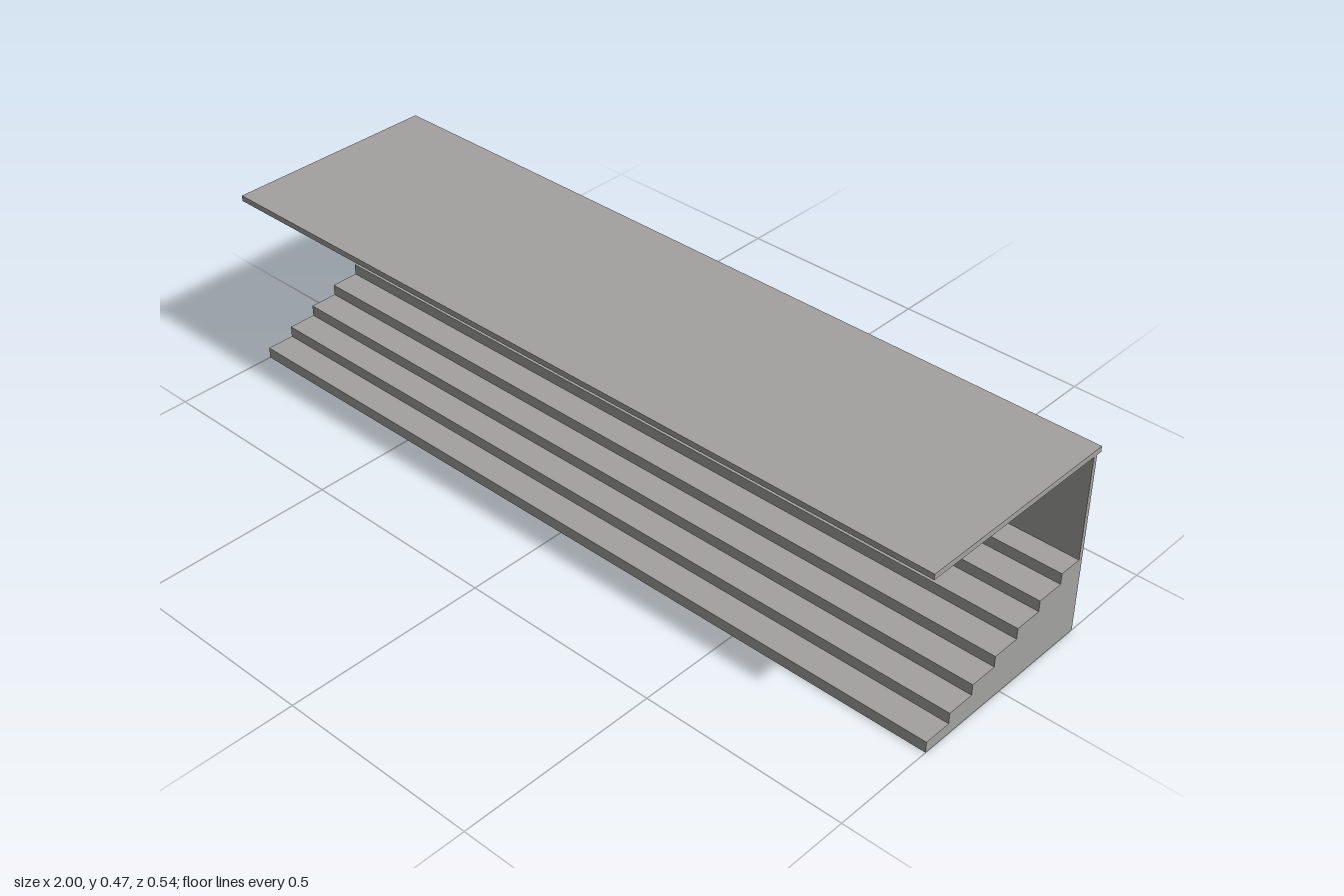
import * as THREE from 'three';

const LENGTH = 2;

export function createModel() {
  const group = new THREE.Group();
  group.name = 'grandstand';
  const concrete = new THREE.MeshStandardMaterial({ color: 0xa3a2a0 });
  concrete.name = 'concrete grey';

  const add = (name, geometry) => {
    const mesh = new THREE.Mesh(geometry, concrete);
    mesh.name = name;
    group.add(mesh);
  };

  // Box spanning the full length, given its y and z limits
  const slab = (name, y0, y1, z0, z1) =>
    add(name, new THREE.BoxGeometry(LENGTH, y1 - y0, z1 - z0)
      .translate(0, (y0 + y1) / 2, (z0 + z1) / 2));

  // Seating tiers: stepped side profile (z, y) extruded along x
  const tiers = 7, rise = 0.0276, tread = 0.0711, front = 0.2415, wallFront = -0.245;
  const profile = new THREE.Shape();
  profile.moveTo(wallFront, 0);
  profile.lineTo(front, 0);
  for (let i = 0; i < tiers; i++) {
    const y = (i + 1) * rise;
    profile.lineTo(front - i * tread, y);
    profile.lineTo(i === tiers - 1 ? wallFront : front - (i + 1) * tread, y);
  }
  add('seatingTiers', new THREE.ExtrudeGeometry(profile, { depth: LENGTH, bevelEnabled: false })
    .rotateY(-Math.PI / 2).translate(LENGTH / 2, 0, 0));

  // Back wall carrying the cantilevered roof
  slab('backWall', 0, 0.452, -0.256, wallFront);
  slab('roof', 0.452, 0.466, -0.27, 0.27);

  return group;
}
